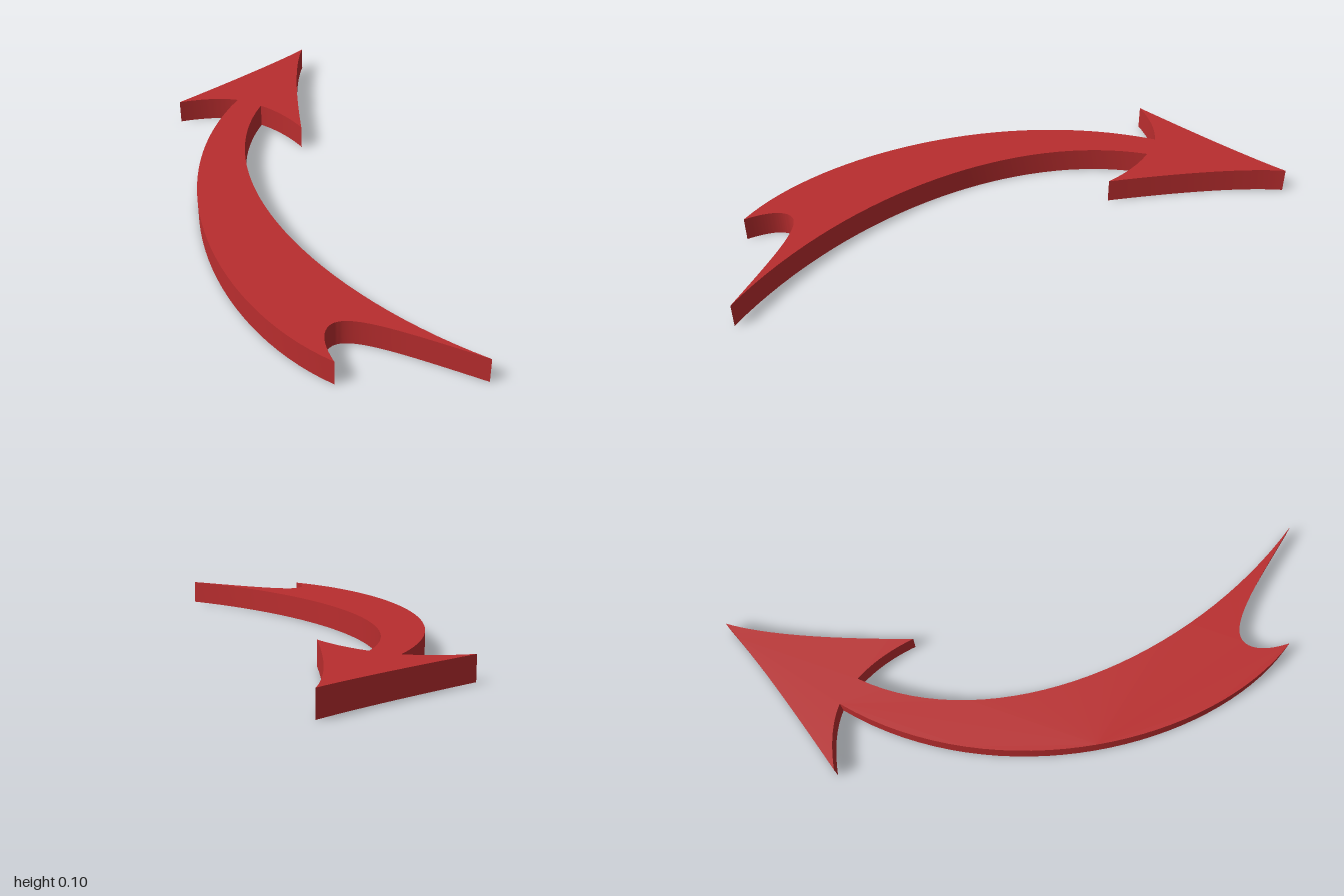
import * as THREE from 'three';
import { toCreasedNormals } from 'three/addons/utils/BufferGeometryUtils.js';

const THICKNESS = 0.105;

// Outline drawn in plan; shape y is -z, so that the extrusion rises along +y
function arrowOutline() {
  const s = new THREE.Shape();
  const quad = (cx, cz, x, z) => s.quadraticCurveTo(cx, -cz, x, -z);
  const cubic = (ax, az, bx, bz, x, z) => s.bezierCurveTo(ax, -az, bx, -bz, x, -z);

  // Arrowhead: left barb
  s.moveTo(-0.754, 1);
  quad(-0.81, -0.75, -0.987, -0.24);
  quad(-0.87, -0.36, -0.757, -0.39);
  // Outer edge of the curved shaft
  cubic(-0.70, 0.36, -0.02, 0.96, 0.52, 0.995);
  // Notched tail
  cubic(0.46, 0.95, 0.415, 0.90, 0.415, 0.85);
  cubic(0.415, 0.75, 0.63, 0.745, 0.987, 0.73);
  // Inner edge of the curved shaft
  cubic(0.22, 0.70, -0.53, 0.22, -0.63, -0.395);
  // Arrowhead: right barb, back to the tip
  quad(-0.50, -0.385, -0.36, -0.31);
  quad(-0.68, -0.77, -0.754, -1);
  return s;
}

export function createModel() {
  const group = new THREE.Group();
  group.name = 'curvedArrow';

  const geometry = new THREE.ExtrudeGeometry(arrowOutline(), {
    depth: THICKNESS, bevelEnabled: false, curveSegments: 32,
  });
  geometry.rotateX(-Math.PI / 2);

  const arrow = new THREE.Mesh(
    toCreasedNormals(geometry, Math.PI / 6),
    new THREE.MeshStandardMaterial({ color: 0xb92d2e }),
  );
  arrow.name = 'arrowPlate';
  group.add(arrow);
  return group;
}
